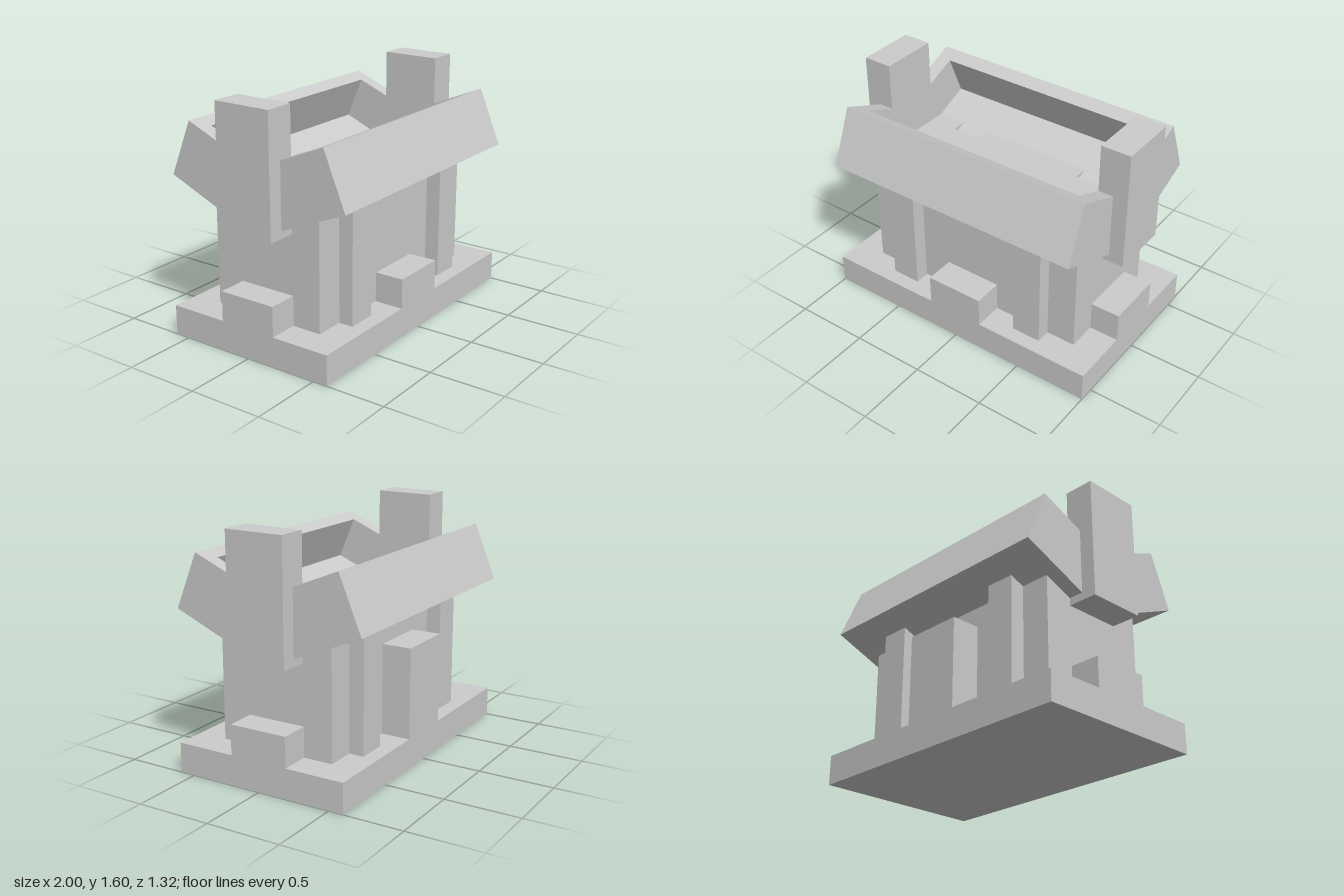
import * as THREE from 'three';

const material = new THREE.MeshStandardMaterial({ color: 0xcccccc, flatShading: true });

// Box given by its lower and upper corners
function box(parent, name, [x0, y0, z0], [x1, y1, z1]) {
  const mesh = new THREE.Mesh(new THREE.BoxGeometry(x1 - x0, y1 - y0, z1 - z0), material);
  mesh.position.set((x0 + x1) / 2, (y0 + y1) / 2, (z0 + z1) / 2);
  mesh.name = name;
  parent.add(mesh);
  return mesh;
}

// Sloping open tray: floor, outer wall and two end walls
function createTray(name) {
  const tray = new THREE.Group();
  tray.name = name;
  const tilted = new THREE.Group();
  tilted.name = 'tiltedTray';
  tilted.position.set(0, 0.85, 0.2);
  tilted.rotation.x = -Math.PI / 8;
  box(tilted, 'trayFloor', [-0.9, 0, 0], [0.9, 0.1, 0.5]);
  box(tilted, 'trayOuterWall', [-0.8, 0.1, 0.4], [0.8, 0.4, 0.5]);
  box(tilted, 'trayLeftEnd', [0.8, 0.1, 0], [0.9, 0.4, 0.5]);
  box(tilted, 'trayRightEnd', [-0.9, 0.1, 0], [-0.8, 0.4, 0.5]);
  tray.add(tilted);
  return tray;
}

export function createModel() {
  const model = new THREE.Group();
  model.name = 'trayStand';

  // Base plate with a low front step and a tall back block
  box(model, 'basePlate', [-1, 0, -0.6], [1, 0.2, 0.6]);
  box(model, 'frontStep', [-0.2, 0.2, 0.4], [0.2, 0.4, 0.6]);
  box(model, 'backBlock', [-0.2, 0.2, -0.6], [0.2, 0.8, -0.4]);

  // Body, its top notched above the pilasters
  box(model, 'body', [-0.8, 0.2, -0.4], [0.8, 0.9, 0.4]);
  box(model, 'bodyTopCentre', [-0.4, 0.9, -0.4], [0.4, 1, 0.4]);

  for (const [side, s] of [['left', 1], ['right', -1]]) {
    const span = (a, b) => [Math.min(s * a, s * b), Math.max(s * a, s * b)];
    const [a0, a1] = span(0.6, 0.8);
    const [b0, b1] = span(0.4, 0.6);
    const [c0, c1] = span(0.8, 1);
    box(model, side + 'BodyTop', [a0, 0.9, -0.4], [a1, 1, 0.4]);
    box(model, side + 'BodyTopNeck', [b0, 0.9, -0.2], [b1, 1, 0.2]);
    box(model, side + 'FrontPilaster', [b0, 0.2, 0.3], [b1, 1, 0.5]);
    box(model, side + 'BackPilaster', [b0, 0.2, -0.5], [b1, 1, -0.3]);
    box(model, side + 'Step', [c0, 0.2, -0.2], [c1, 0.4, 0.2]);
    box(model, side + 'Post', [c0, 0.8, -0.2], [c1, 1.6, 0.2]);
  }

  // Trays sloping up to the front and to the back
  const backTray = createTray('backTray');
  backTray.rotation.y = Math.PI;
  model.add(createTray('frontTray'), backTray);

  return model;
}
